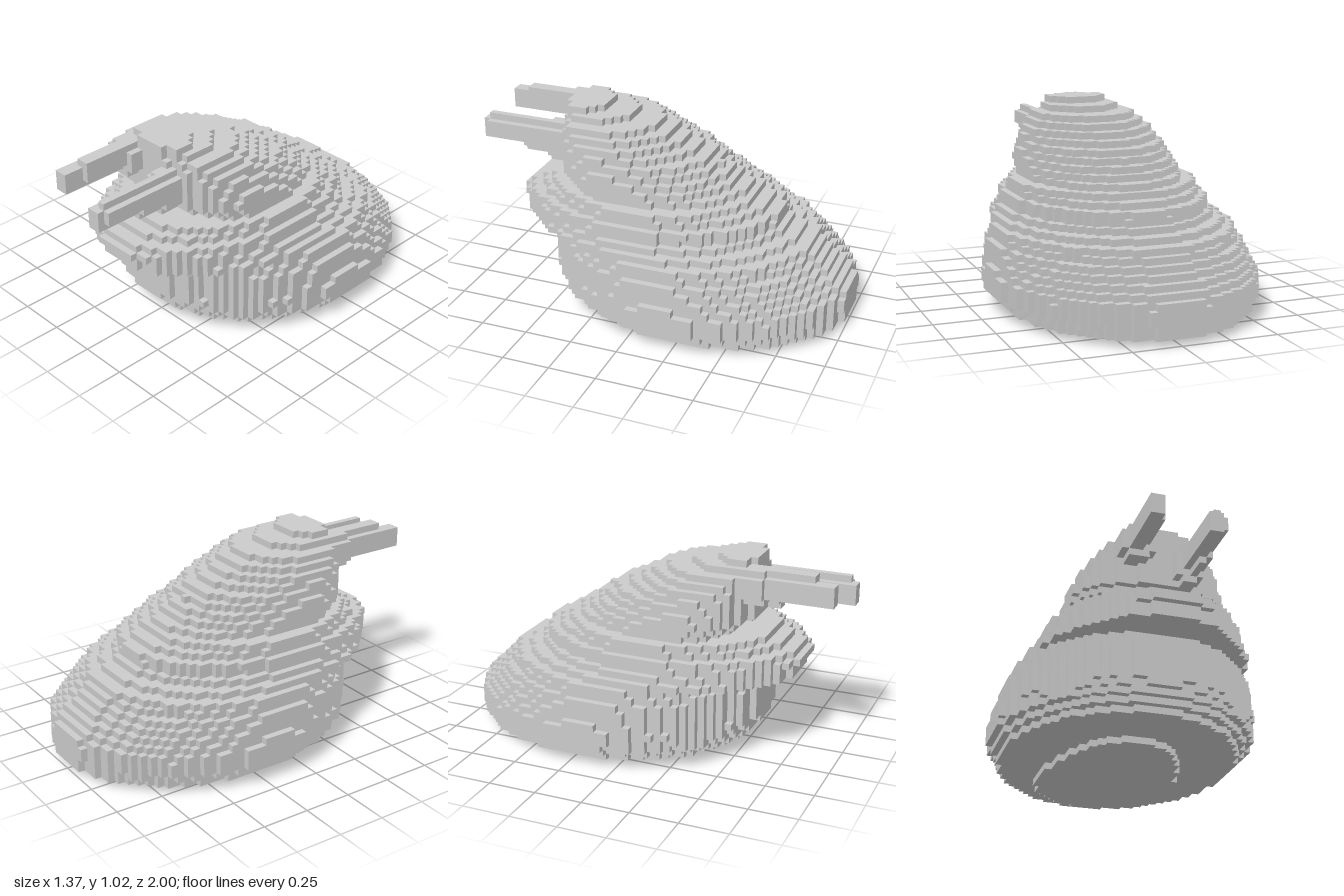
import * as THREE from 'three';

const S = 2 / 57;              // edge of one cube
const NX = 39, NY = 29, NZ = 57;

// Outline keys per part: [height, half width, back z, front z].
// split is where the slice is widest (0 back, 1 front); front and back set the bluntness.
const outlines = {
  base: { split: 0.4, front: 1.9, back: 2.6, keys: [[0.02, 0.36, -0.89, 0.16]] },
  body: { split: 0.51, front: 2, back: 1.95, keys: [
    [0.05, 0.62, -1, 0.47], [0.09, 0.65, -1, 0.52], [0.12, 0.684, -1, 0.55], [0.19, 0.684, -1, 0.58],
    [0.23, 0.67, -0.965, 0.58], [0.33, 0.65, -0.86, 0.58], [0.37, 0.62, -0.82, 0.58], [0.41, 0.615, -0.785, 0.55]] },
  lip: { split: 0.48, front: 1.9, back: 2, keys: [
    [0.44, 0.58, -0.72, 0.76], [0.47, 0.545, -0.65, 0.76], [0.51, 0.51, -0.61, 0.79],
    [0.545, 0.51, -0.61, 0.76], [0.58, 0.475, -0.54, 0.69], [0.62, 0.475, -0.47, 0.62]] },
  head: { split: 0.6, front: 3, back: 1.9, keys: [
    [0.65, 0.405, -0.44, 0.45], [0.69, 0.405, -0.37, 0.5], [0.72, 0.405, -0.33, 0.54], [0.79, 0.37, -0.23, 0.54],
    [0.86, 0.335, -0.08, 0.54], [0.9, 0.3, -0.015, 0.54], [0.93, 0.275, 0.05, 0.54], [0.965, 0.2, 0.19, 0.54],
    [1.0, 0.15, 0.33, 0.54]] },
};

// Stalk segments, rounded in section: [x0, x1, y0, y1, z0, z1]
const stalks = {
  rightStalk: [
    [-0.23, -0.05, 0.81, 0.985, 0.45, 0.62],
    [-0.19, -0.09, 0.845, 0.985, 0.5, 0.86],
    [-0.195, -0.12, 0.845, 0.95, 0.5, 0.965]],
  leftStalk: [
    [0.05, 0.195, 0.7, 0.915, 0.45, 0.62],
    [0.09, 0.19, 0.735, 0.915, 0.5, 0.755],
    [0.09, 0.19, 0.77, 0.915, 0.5, 0.95],
    [0.085, 0.16, 0.77, 0.88, 0.5, 1.0]],
};

function outlineAt(keys, y) {
  let i = 0;
  while (i < keys.length - 2 && y > keys[i + 1][0]) i++;
  const a = keys[i], b = keys[Math.min(i + 1, keys.length - 1)];
  const t = a === b ? 0 : THREE.MathUtils.clamp((y - a[0]) / (b[0] - a[0]), 0, 1);
  return a.map((v, n) => THREE.MathUtils.lerp(v, b[n], t));
}

// Egg-shaped slice test
function inSlice({ keys, split, front, back }, x, y, z) {
  const [, w, tail, tip] = outlineAt(keys, y);
  const mid = THREE.MathUtils.lerp(tail, tip, split);
  const t = z > mid ? ((z - mid) / (tip - mid)) ** front : ((mid - z) / (mid - tail)) ** back;
  return (Math.abs(x) / w) ** 2 + t <= 1;
}

function inSegment([x0, x1, y0, y1, z0, z1], x, y, z) {
  const u = (2 * x - x0 - x1) / (x1 - x0), v = (2 * y - y0 - y1) / (y1 - y0);
  return u * u + v * v <= 1 && z > z0 && z < z1;
}

const partOfLayer = (j) => (j < 1 ? 'base' : j < 12 ? 'body' : j < 18 ? 'lip' : 'head');

function partAt(x, y, z, j) {
  const name = partOfLayer(j);
  if (inSlice(outlines[name], x, y, z)) return name;
  for (const [stalk, segments] of Object.entries(stalks)) {
    if (segments.some((s) => inSegment(s, x, y, z))) return stalk;
  }
  return null;
}

export function createModel() {
  // Fill the grid of cubes
  const cells = new Array(NX * NY * NZ).fill(null);
  const index = (i, j, k) => (i * NY + j) * NZ + k;
  const at = (i, j, k) =>
    i < 0 || j < 0 || k < 0 || i >= NX || j >= NY || k >= NZ ? null : cells[index(i, j, k)];
  const centre = (i, j, k) => [(i - (NX - 1) / 2) * S, (j + 0.5) * S, (k - (NZ - 1) / 2) * S];
  const eachCell = (fn) => {
    for (let i = 0; i < NX; i++) for (let j = 0; j < NY; j++) for (let k = 0; k < NZ; k++) fn(i, j, k);
  };
  eachCell((i, j, k) => { cells[index(i, j, k)] = partAt(...centre(i, j, k), j); });

  // Collect only the exposed cube faces of each part
  const positions = {};
  const corners = [[-1, -1], [1, -1], [1, 1], [-1, -1], [1, 1], [-1, 1]];
  eachCell((i, j, k) => {
    const part = at(i, j, k);
    if (!part) return;
    const list = (positions[part] ??= []);
    const c = centre(i, j, k);
    for (let axis = 0; axis < 3; axis++) {
      for (const side of [-1, 1]) {
        const next = [i, j, k];
        next[axis] += side;
        if (at(...next)) continue;
        const u = (axis + 1) % 3, v = (axis + 2) % 3;
        for (const [a, b] of corners) {
          const p = [...c];
          p[axis] += side * S / 2;
          p[u] += (side > 0 ? a : b) * S / 2;
          p[v] += (side > 0 ? b : a) * S / 2;
          list.push(...p);
        }
      }
    }
  });

  const group = new THREE.Group();
  group.name = 'blockCreature';
  const material = new THREE.MeshStandardMaterial({ color: 0xcccccc, flatShading: true });
  for (const [name, list] of Object.entries(positions)) {
    const geometry = new THREE.BufferGeometry();
    geometry.setAttribute('position', new THREE.Float32BufferAttribute(list, 3));
    geometry.computeVertexNormals();
    const mesh = new THREE.Mesh(geometry, material);
    mesh.name = name;
    group.add(mesh);
  }
  return group;
}
